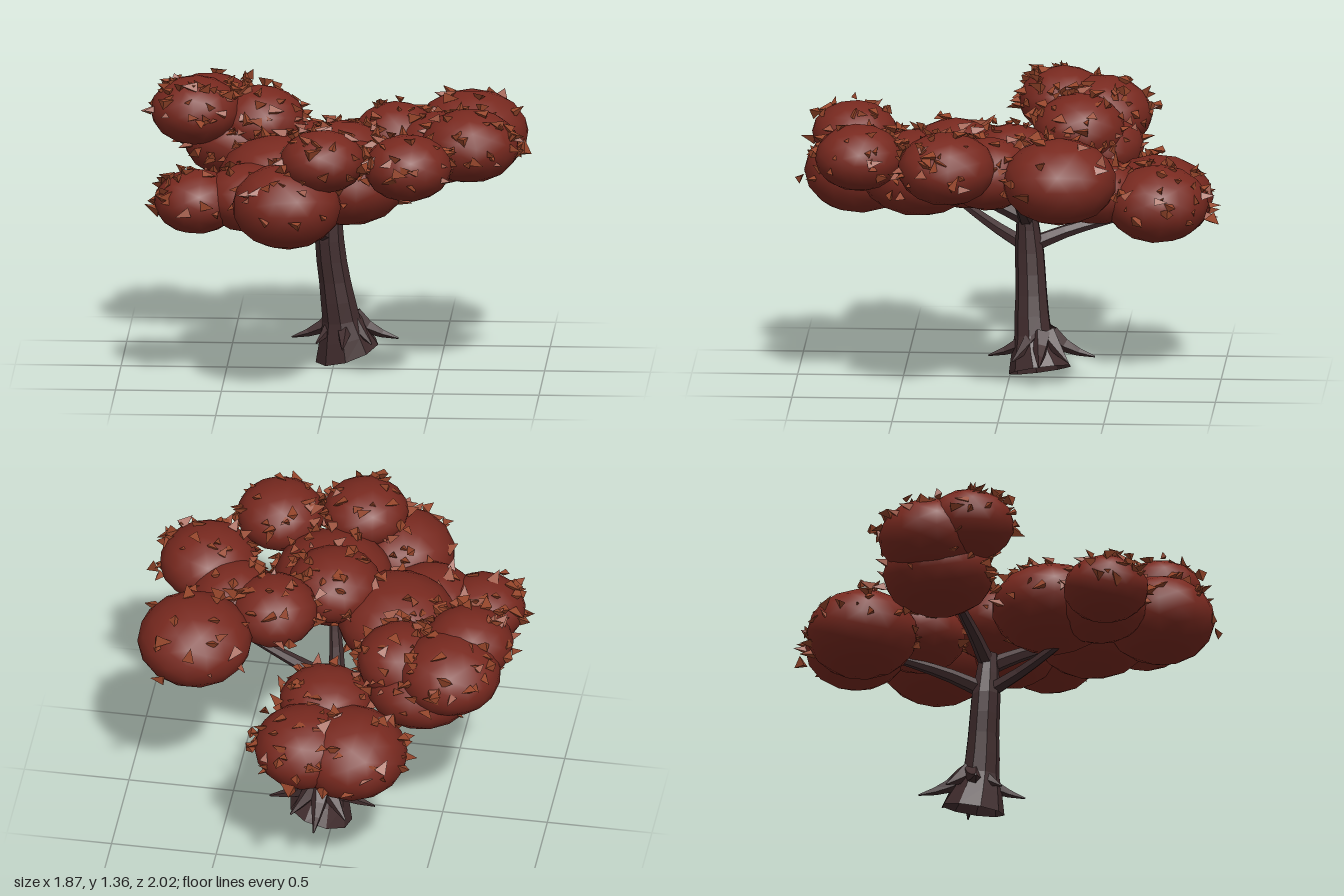
import * as THREE from 'three';
import { mergeGeometries } from 'three/addons/utils/BufferGeometryUtils.js';

const bark = new THREE.MeshStandardMaterial({ color: 0x402c2d, flatShading: true, side: THREE.DoubleSide });
bark.name = 'bark';
const foliage = new THREE.MeshStandardMaterial({ color: 0x78291f });
foliage.name = 'foliage';
const leaf = new THREE.MeshStandardMaterial({ color: 0x95452a, flatShading: true });
leaf.name = 'leaf';

const V = (x, y, z) => new THREE.Vector3(x, y, z);
const UP = V(0, 1, 0);

// Small seeded random number generator
function seeded(seed) {
  return () => {
    seed = (seed * 16807) % 2147483647;
    return seed / 2147483647;
  };
}

// Foliage clumps: x, y, z, horizontal radius, vertical radius, number of leaves
const CLUMPS = [
  // left, high
  [-0.66, 1.19, -0.22, 0.21, 0.16, 50], [-0.60, 1.14, -0.40, 0.24, 0.18, 50],
  [-0.36, 1.115, -0.31, 0.215, 0.17, 50], [-0.46, 1.02, -0.35, 0.26, 0.185, 40],
  // back, low
  [-0.18, 0.83, -0.69, 0.26, 0.20, 40], [0.04, 0.85, -0.70, 0.24, 0.18, 50], [-0.01, 0.90, -0.41, 0.22, 0.155, 40],
  // right
  [0.64, 1.085, -0.27, 0.268, 0.20, 24], [0.66, 1.145, 0.26, 0.23, 0.17, 45], [0.30, 1.12, -0.03, 0.205, 0.16, 40],
  [0.51, 1.09, 0.07, 0.21, 0.17, 40],
  // front
  [-0.62, 0.90, 0.43, 0.20, 0.15, 40], [-0.37, 0.92, 0.42, 0.22, 0.16, 40], [-0.25, 0.96, 0.20, 0.28, 0.20, 40],
  [0.06, 1.09, 0.25, 0.22, 0.16, 40], [0.09, 1.00, 0.42, 0.28, 0.20, 40], [-0.18, 0.95, 0.72, 0.255, 0.20, 40],
  [-0.01, 1.17, 0.73, 0.20, 0.145, 36], [0.39, 1.135, 0.69, 0.205, 0.155, 40],
];

// Open flared trunk: a cylinder bent along a curve, with a slanted foot
function trunkGeometry() {
  const path = new THREE.CatmullRomCurve3([
    V(0.06, 0.045, -0.15), V(0.035, 0.21, -0.115), V(0.005, 0.4, -0.105), V(-0.02, 0.6, -0.095), V(-0.01, 0.82, -0.08),
  ]);
  const radii = [0.15, 0.09, 0.076, 0.07, 0.045];
  const geo = new THREE.CylinderGeometry(1, 1, 1, 9, 8, true);
  const pos = geo.attributes.position;
  for (let i = 0; i < pos.count; i++) {
    const t = pos.getY(i) + 0.5;
    const k = Math.min(3, Math.floor(t * 4));
    const r = THREE.MathUtils.lerp(radii[k], radii[k + 1], t * 4 - k);
    const c = path.getPoint(t);
    const dx = pos.getX(i) * r, dz = pos.getZ(i) * r;
    const slant = (0.3 * dx - 0.15 * dz) * (1 - t) ** 3;
    pos.setXYZ(i, c.x + dx, c.y + slant, c.z + dz);
  }
  return geo;
}

// Tapered limb: a tube whose rings shrink toward the tip
function limbGeometry(points, r0, r1, sides = 6, steps = 6) {
  const curve = new THREE.CatmullRomCurve3(points);
  const geo = new THREE.TubeGeometry(curve, steps, 1, sides);
  const pos = geo.attributes.position;
  const p = V(0, 0, 0);
  for (let i = 0; i < pos.count; i++) {
    const t = Math.floor(i / (sides + 1)) / steps;
    const c = curve.getPointAt(t);
    p.fromBufferAttribute(pos, i).sub(c).multiplyScalar(THREE.MathUtils.lerp(r0, r1, t)).add(c);
    pos.setXYZ(i, p.x, p.y, p.z);
  }
  return geo;
}

// Pointed leaves scattered over a clump, skipping places buried in another clump
function leavesGeometry(clump, rand) {
  const [x, y, z, rh, rv, count] = clump;
  const parts = [];
  const m = new THREE.Matrix4(), q = new THREE.Quaternion();
  for (let i = 0; i < count; i++) {
    const a = rand() * Math.PI * 2;
    const h = -0.35 + rand() * 1.3;
    const w = Math.sqrt(1 - h * h);
    const lift = 0.99 + rand() * 0.16;
    const p = V(x + Math.cos(a) * w * rh * lift, y + h * rv * lift, z + Math.sin(a) * w * rh * lift);
    const dir = V(Math.cos(a) * w + rand() * 3 - 1.5, h * 0.5 + rand() - 0.5, Math.sin(a) * w + rand() * 3 - 1.5);
    const size = 0.7 + rand() * 0.6;
    const buried = CLUMPS.some((c) => c !== clump &&
      Math.hypot((p.x - c[0]) / c[3], (p.y - c[1]) / c[4], (p.z - c[2]) / c[3]) < 0.96);
    if (buried) continue;
    q.setFromUnitVectors(UP, dir.normalize());
    m.compose(p, q, V(size, size, size * 0.75));
    parts.push(new THREE.ConeGeometry(0.029, 0.064, 3).applyMatrix4(m));
  }
  return mergeGeometries(parts);
}

export function createModel() {
  const tree = new THREE.Group();
  tree.name = 'tree';
  const add = (name, geo, mat, parent = tree) => {
    const mesh = new THREE.Mesh(geo, mat);
    mesh.name = name;
    parent.add(mesh);
    return mesh;
  };

  add('trunk', trunkGeometry(), bark);

  // Root spikes around the foot, long and short in turn
  const roots = new THREE.Group();
  roots.name = 'roots';
  tree.add(roots);
  for (let i = 0; i < 8; i++) {
    const a = (i / 8) * Math.PI * 2;
    const reach = i % 2 ? 0.185 : 0.252;
    const at = (r, y) => V(0.05 + Math.cos(a) * r, y, -0.155 + Math.sin(a) * r);
    add('root', limbGeometry([at(0.04, 0.215), at(0.12, 0.155), at(reach, 0.11)], 0.052, 0.004, 5, 3), bark, roots);
  }

  // Branches reaching into the foliage
  const branches = new THREE.Group();
  branches.name = 'branches';
  tree.add(branches);
  [
    [[-0.02, 0.62, -0.09], [-0.12, 0.70, 0.08], [-0.30, 0.83, 0.32], 0.038],
    [[-0.02, 0.63, -0.1], [-0.04, 0.70, -0.28], [-0.08, 0.78, -0.6], 0.04],
    [[-0.01, 0.76, -0.08], [0.16, 0.84, -0.07], [0.46, 0.98, -0.04], 0.042],
    [[-0.01, 0.76, -0.08], [0.02, 0.84, 0.07], [0.09, 0.97, 0.38], 0.042],
    [[-0.01, 0.76, -0.08], [-0.12, 0.86, -0.15], [-0.36, 1.02, -0.30], 0.04],
  ].forEach(([a, b, c, r]) =>
    add('branch', limbGeometry([V(...a), V(...b), V(...c)], r, 0.016), bark, branches));

  // Rounded foliage clumps with their loose leaves
  const canopy = new THREE.Group();
  canopy.name = 'canopy';
  tree.add(canopy);
  const rand = seeded(4217);
  CLUMPS.forEach((clump, i) => {
    const [x, y, z, rh, rv] = clump;
    const mesh = add('foliageClump', new THREE.IcosahedronGeometry(1.015, 2), foliage, canopy);
    mesh.position.set(x, y, z);
    mesh.rotation.y = i * 0.9;
    mesh.scale.set(rh, rv, rh);
    add('leaves', leavesGeometry(clump, rand), leaf, canopy);
  });

  return tree;
}
